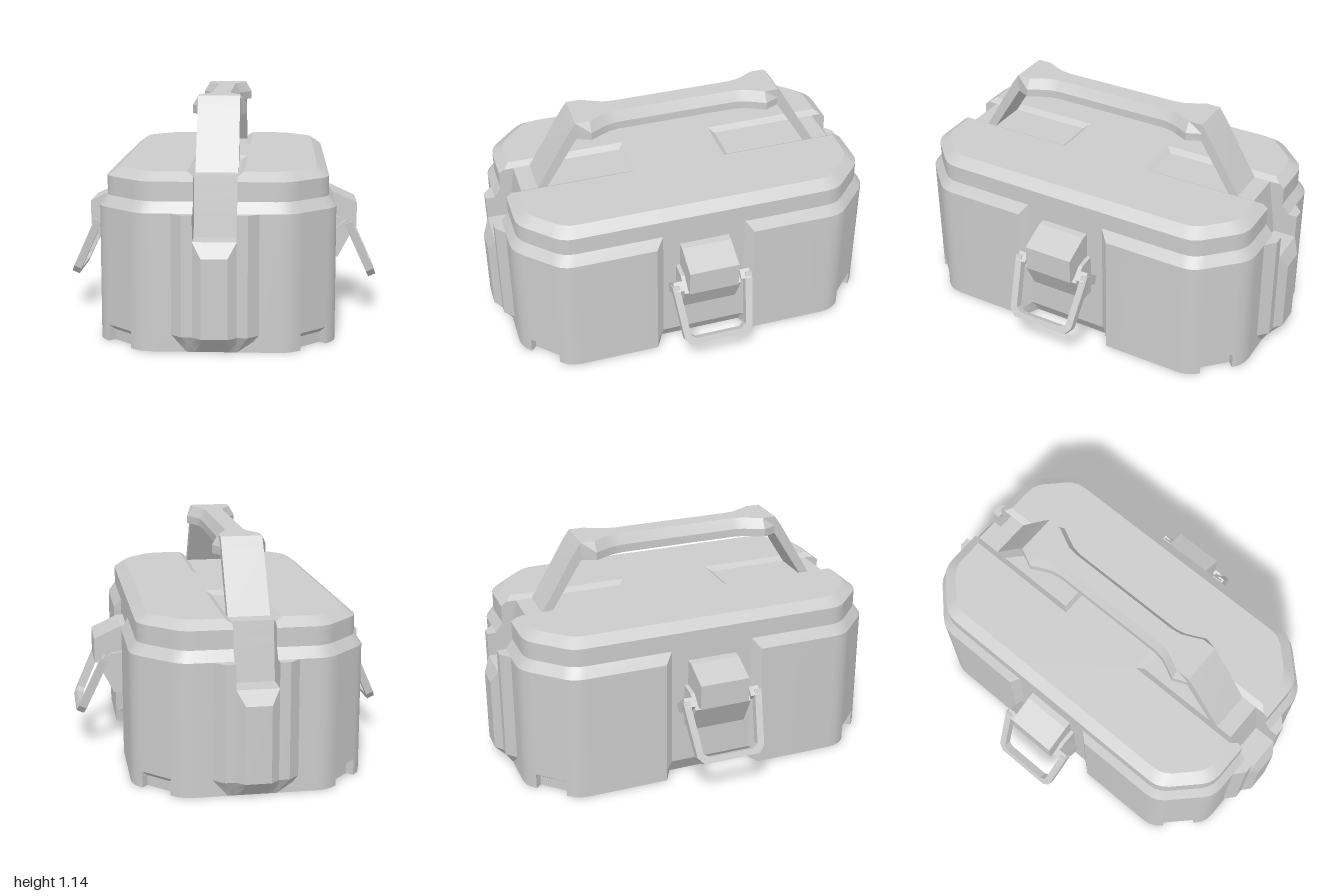
import * as THREE from 'three';
import { mergeGeometries, toCreasedNormals } from 'three/addons/utils/BufferGeometryUtils.js';

const material = new THREE.MeshStandardMaterial({ color: 0xcccccc });

function part(geometry, name, parent) {
  const mesh = new THREE.Mesh(geometry, material);
  mesh.name = name;
  parent.add(mesh);
  return mesh;
}

// Joins closed rings of [x, y, z] points with quads.
function skin(rings) {
  const pos = [];
  const tri = (...p) => {
    const [a, b, c] = p.map(v => new THREE.Vector3(...v));
    if (b.clone().sub(a).cross(c.clone().sub(a)).length() > 1e-9) pos.push(...p.flat());
  };
  for (let r = 0; r < rings.length - 1; r++) {
    const lo = rings[r], hi = rings[r + 1], n = lo.length;
    for (let j = 0; j < n; j++) {
      const k = (j + 1) % n;
      tri(lo[j], hi[j], lo[k]);
      tri(lo[k], hi[j], hi[k]);
    }
  }
  const g = new THREE.BufferGeometry();
  g.setAttribute('position', new THREE.Float32BufferAttribute(pos, 3));
  return g;
}

// Flat horizontal lid for a ring; s = 1 faces up, s = -1 faces down.
function cap(ring, s) {
  const g = new THREE.ShapeGeometry(new THREE.Shape(ring.map(p => new THREE.Vector2(p[0], -s * p[2]))));
  g.rotateX(-s * Math.PI / 2).translate(0, ring[0][1], 0);
  const flat = g.toNonIndexed();
  flat.deleteAttribute('uv');
  flat.deleteAttribute('normal');
  return flat;
}

// Rounded bend at corner c, between the directions of points a and b.
function bend(a, c, b, t = 0.055) {
  const C = new THREE.Vector2(...c);
  const toward = p => new THREE.Vector2(...p).sub(C).setLength(t).add(C);
  return new THREE.QuadraticBezierCurve(toward(a), C, toward(b)).getPoints(3).map(v => [v.x, v.y]);
}

// Horizontal outline of the case at one height, mirrored from one quarter.
function outline(o) {
  const X = 0.555 - o.i, Z = 0.92 - o.i, side = Math.min(o.side ?? 0.52, X);
  const A = [X, 0.71 - o.i * 0.414], B = [0.345 - o.i * 0.414, Z];
  const a = bend([X, 0], A, B), b = bend(A, B, [0, Z]);
  const p = a[3], q = b[0], d = (o.notch ?? 0) * Math.SQRT1_2;
  const mix = (t, k) => [p[0] + (q[0] - p[0]) * t - k, p[1] + (q[1] - p[1]) * t - k];
  const pz = o.pz ?? Z, px = o.px ?? 0.1;
  const quarter = [
    [side, 0.21], [X, 0.21 + Math.min(0.04, Math.max(0, X - 0.52) * 1.15)],
    ...a, mix(0.05, 0), mix(0.05, d), mix(0.95, d), mix(0.95, 0), ...b,
    [o.p2 ?? 0.2, Z], [o.p1 ?? 0.15, pz], [px, pz],
    [px, o.g ?? pz], [o.w ?? px, o.r ?? o.g ?? pz],
  ];
  const turn = (sx, sz, rev) => {
    const m = quarter.map(([x, z]) => [sx * x, o.y, sz * z]);
    return rev ? m.reverse() : m;
  };
  return [...turn(1, 1), ...turn(-1, 1, true), ...turn(-1, -1), ...turn(1, -1, true)];
}

function caseGeometry(rows, top, bottom) {
  const rings = rows.map(outline);
  const parts = [skin(rings)];
  if (bottom) parts.push(cap(rings[0], -1));
  if (top) parts.push(cap(rings[rings.length - 1], 1));
  return toCreasedNormals(mergeGeometries(parts), 0.4);
}

// Side profile of [outward, y] points, extruded to a width along x.
function profile(points, width) {
  const g = new THREE.ExtrudeGeometry(
    new THREE.Shape(points.map(p => new THREE.Vector2(...p))), { depth: width, bevelEnabled: false });
  return g.translate(0, 0, -width / 2).rotateY(-Math.PI / 2);
}

function makeLatch() {
  const latch = new THREE.Group();
  part(profile([[0.5, 0.63], [0.555, 0.625], [0.685, 0.565], [0.685, 0.44], [0.5, 0.44]], 0.25), 'latchBlock', latch);
  part(profile([[0.5, 0.5], [0.6, 0.49], [0.665, 0.43], [0.59, 0.285], [0.5, 0.285]], 0.29), 'latchBase', latch);

  // Swinging wire loop
  const half = [[0.205, 0.03], [0.175, -0.245], [0.145, -0.28]];
  const inner = [[0.115, -0.25], [0.142, -0.23], [0.17, 0.03]];
  const path = [...half, ...half.map(([x, y]) => [-x, y]).reverse(),
    ...inner.map(([x, y]) => [-x, y]), ...inner.map(([x, y]) => [x, y]).reverse()];
  // Outer edge runs right to left, then the inner edge returns.
  const ordered = [...path.slice(0, 6), ...inner.slice().reverse().map(([x, y]) => [-x, y]), ...inner];
  const loop = part(new THREE.ExtrudeGeometry(
    new THREE.Shape(ordered.map(p => new THREE.Vector2(...p))), { depth: 0.04, bevelEnabled: false })
    .translate(0, 0, -0.02), 'latchLoop', latch);
  loop.position.set(0, 0.445, 0.65);
  loop.rotation.x = -0.43;

  // Hooks joining the loop to the case
  for (const s of [-1, 1]) {
    const hook = part(profile([[0.55, 0.42], [0.635, 0.49], [0.67, 0.455], [0.635, 0.42], [0.57, 0.38]], 0.05), 'latchHook', latch);
    hook.position.x = s * 0.17;
  }
  return latch;
}

export function createModel() {
  const model = new THREE.Group();
  model.name = 'carryCase';

  // Lower body with side recesses, corner notches and ribbed ends
  const rib = { w: 0.06, r: 1.0, pz: 0.965 };
  part(caseGeometry([
    { y: 0, i: 0, side: 0.47, notch: 0.04, p2: 0.13, p1: 0.1, pz: 0.92, w: 0.06 },
    { y: 0.05, i: 0, side: 0.501, notch: 0.04, p2: 0.174, p1: 0.131, pz: 0.948, w: 0.06, r: 0.97 },
    { y: 0.08, i: 0, ...rib },
    { y: 0.45, i: 0, ...rib },
    { y: 0.52, i: 0, pz: 0.965 },
    { y: 0.52, i: 0, pz: 0.965, g: 0.85 },
    { y: 0.64, i: 0, pz: 0.965, g: 0.833 },
    { y: 0.64, i: 0, g: 0.833 },
    { y: 0.69, i: 0.035, g: 0.826 },
    { y: 0.73, i: 0.035, g: 0.82 },
  ], false, true), 'body', model);

  // Lid with a handle channel sunk in at each end
  part(caseGeometry([
    { y: 0.73, i: 0.035, g: 0.82 },
    { y: 0.78, i: 0.035, g: 0.813 },
    { y: 0.80, i: 0.0625, g: 0.81 },
    { y: 0.80, i: 0.0625, g: 0.26 },
    { y: 0.82, i: 0.09, g: 0.23, px: 0.13 },
  ], true, false), 'lid', model);

  // Handle: sections hold top half-width, full half-width, then [z, y] of top, shoulder and underside
  const half = [
    [0.1, 0.1, [0.73, 0.795], [0.725, 0.795], [0.68, 0.795]],
    [0.1, 0.1, [0.555, 1.09], [0.55, 1.085], [0.52, 1.05]],
    [0.1, 0.1, [0.52, 1.14], [0.52, 1.09], [0.515, 1.05]],
    [0.1, 0.13, [0.45, 1.14], [0.45, 1.09], [0.45, 1.05]],
    [0.07, 0.1, [0.39, 1.14], [0.39, 1.09], [0.39, 1.05]],
    [0.052, 0.082, [0.35, 1.14], [0.35, 1.09], [0.35, 1.05]],
    [0.045, 0.073, [0.3, 1.14], [0.3, 1.09], [0.3, 1.05]],
  ];
  const section = s => ([a, b, [hz, hy], [mz, my], [lz, ly]]) => [
    [a, hy, s * hz], [-a, hy, s * hz], [-b, my, s * mz],
    [-b, ly, s * lz], [b, ly, s * lz], [b, my, s * mz],
  ];
  const rings = [...half.map(section(1)), ...half.map(section(-1)).reverse()];
  part(toCreasedNormals(skin(rings), 0.4), 'handle', model);

  // Latches on both long sides
  for (const s of [1, -1]) {
    const latch = makeLatch();
    latch.name = s > 0 ? 'leftLatch' : 'rightLatch';
    latch.rotation.y = s * Math.PI / 2;
    model.add(latch);
  }
  return model;
}
